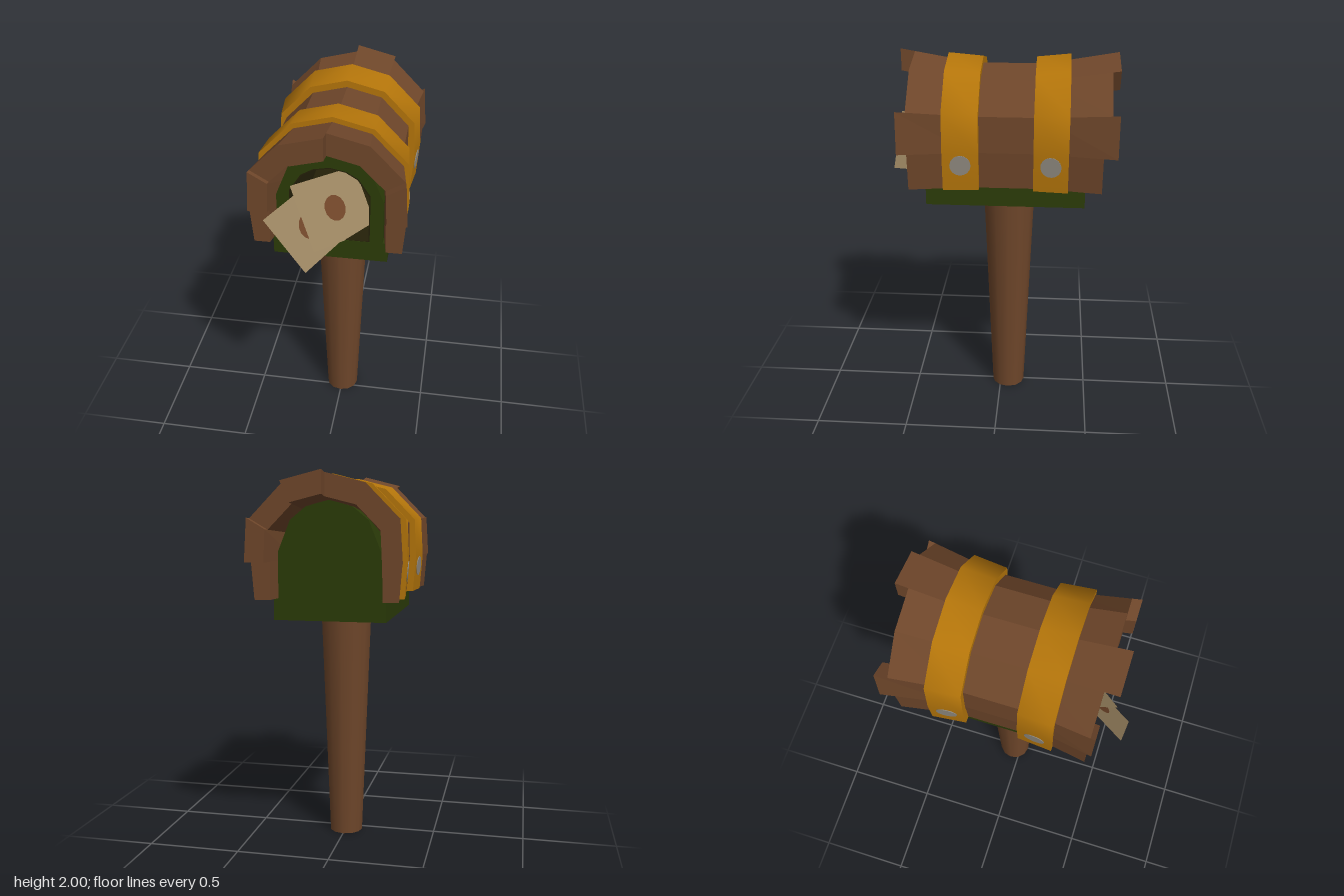
import * as THREE from 'three';
import { toCreasedNormals } from 'three/addons/utils/BufferGeometryUtils.js';

const mat = (name, color, side = THREE.FrontSide) => {
  const m = new THREE.MeshStandardMaterial({ color, side });
  m.name = name;
  return m;
};

// Half profile of the plank roof: x, y, outward direction, thickness, bottom to ridge
const PROFILE = [
  [0.315, 1.365, 1, 0, 0.08], [0.33, 1.555, 1, 0, 0.1], [0.325, 1.74, 0.85, 0.5, 0.11],
  [0.18, 1.89, 0.4, 0.9, 0.115], [0, 1.935, 0, 1, 0.115],
];
const flare = (z) => 0.17 * Math.max(0, Math.abs(z + 0.05) - 0.18);
const offsetPoint = (i, d, z, side = 1) => {
  const [x, y, dx, dy] = PROFILE[i];
  return [side * (x + dx * d), y + dy * d, z];
};

// Closed solid through equal rings, ordered by z, each counterclockwise from the front
function loft(rings) {
  const n = rings[0].length, pos = [];
  const quad = (a, b, c, d) => pos.push(...a, ...b, ...c, ...a, ...c, ...d);
  for (let r = 0; r < rings.length - 1; r++) {
    for (let j = 0; j < n; j++) {
      const k = (j + 1) % n;
      quad(rings[r][j], rings[r][k], rings[r + 1][k], rings[r + 1][j]);
    }
  }
  const back = rings[0], front = rings[rings.length - 1];
  for (let k = 0; k < n / 2 - 1; k++) {
    quad(front[k], front[k + 1], front[n - 2 - k], front[n - 1 - k]);
    quad(back[n - 1 - k], back[n - 2 - k], back[k + 1], back[k]);
  }
  const g = new THREE.BufferGeometry();
  g.setAttribute('position', new THREE.Float32BufferAttribute(pos, 3));
  g.computeVertexNormals();
  return g;
}

// Outline mirrored across x = 0 from its right half, listed bottom to top
const mirrored = (half) => {
  const left = half.slice(0, -1).reverse().map(([x, y]) => [-x, y]);
  return [...half, ...left].map(([x, y]) => new THREE.Vector2(x, y));
};
const extrude = (outline, depth, hole) => {
  const shape = new THREE.Shape(mirrored(outline));
  if (hole) shape.holes.push(new THREE.Path(mirrored(hole)));
  return new THREE.ExtrudeGeometry(shape, { depth, bevelEnabled: false });
};

export function createModel() {
  const model = new THREE.Group();
  model.name = 'mailbox';
  const wood = mat('wood brown', 0x6e462a, THREE.DoubleSide);
  const gold = mat('gold', 0xb4750a);
  const green = mat('dark green', 0x2b3b08);
  const inside = mat('dark interior', 0x242008);
  const grey = mat('rivet grey', 0x908a80);
  const paper = mat('paper', 0x9a8460, THREE.DoubleSide);
  const wax = mat('wax seal', 0x6e4428, THREE.DoubleSide);
  const add = (name, geo, m, parent = model) => {
    const mesh = new THREE.Mesh(geo, m);
    mesh.name = name;
    parent.add(mesh);
    return mesh;
  };

  // Tapered hollow post
  const post = new THREE.CylinderGeometry(0.14, 0.092, 1.26, 12, 1, true);
  add('post', post, wood).position.set(0, 0.63, -0.045);

  // Base slab with a dark underside
  const slab = new THREE.BoxGeometry(0.58, 0.11, 0.82);
  add('base', slab, [green, green, green, inside, green, green]).position.set(0, 1.31, -0.04);

  // Hollow arched body with a dark lining
  const arch = [[0.265, 1.355], [0.265, 1.6], [0.2, 1.76], [0.12, 1.825], [0, 1.86]];
  const mouth = [[0.2, 1.363], [0.2, 1.63], [0.14, 1.72], [0.08, 1.755], [0, 1.77]];
  const lining = mouth.map(([x, y], i) => [x * 0.97, y + (i ? -0.006 : 0.004)]);
  add('body', extrude(arch, 0.77, mouth), green).position.z = -0.4;
  add('lining', extrude(mouth, 0.768, lining), inside).position.z = -0.4;
  add('backWall', extrude(arch, 0.05), green).position.z = -0.45;
  add('interiorBack', new THREE.ShapeGeometry(new THREE.Shape(mirrored(mouth))), inside).position.z = -0.395;

  // Uneven planks, [back, front] ends from the lowest to the ridge on each side
  const ends = {
    1: [[-0.53, 0.445], [-0.6, 0.495], [-0.565, 0.445], [-0.605, 0.445]],
    '-1': [[-0.53, 0.445], [-0.605, 0.47], [-0.54, 0.445], [-0.54, 0.52]],
  };
  const planks = new THREE.Group();
  planks.name = 'planks';
  model.add(planks);
  for (const side of [1, -1]) {
    ends[side].forEach(([back, front], i) => {
      const rings = [back, -0.23, 0.13, front].map((z) => {
        const f = flare(z);
        const ring = [offsetPoint(i, f, z, side), offsetPoint(i + 1, f, z, side),
          offsetPoint(i + 1, f - PROFILE[i + 1][4], z, side), offsetPoint(i, f - PROFILE[i][4], z, side)];
        return side > 0 ? ring : ring.reverse();
      });
      add('plank', loft(rings), wood, planks);
    });
  }

  // Gold bands flaring outward, with a flat rivet on each side
  for (const [name, z0, z1, d0, d1] of [
    ['frontBand', 0.09, 0.27, 0.035, 0.05], ['backBand', -0.36, -0.185, 0.053, 0.035],
  ]) {
    const halfRow = (z, d) => [
      ...[0, 1, 2, 3, 4].map((i) => offsetPoint(i, d, z)),
      ...[3, 2, 1, 0].map((i) => offsetPoint(i, d, z, -1)),
    ];
    const rings = [[z0, d0], [z1, d1]].map(([z, d]) => [
      ...halfRow(z, d), ...halfRow(z, flare(z) - 0.01).reverse(),
    ]);
    add(name, toCreasedNormals(loft(rings), 1.05), gold);
    for (const side of [1, -1]) {
      const rivet = add('rivet', new THREE.CylinderGeometry(0.053, 0.053, 0.006, 16), grey);
      const normal = new THREE.Vector3(side, -0.08, (d0 - d1) / (z1 - z0)).normalize();
      rivet.quaternion.setFromUnitVectors(new THREE.Vector3(0, 1, 0), normal);
      rivet.position.set(side * (0.326 + (d0 + d1) / 2), 1.5, (z0 + z1) / 2);
    }
  }

  // Letters: a corner and its two edge directions, with a round seal in the middle
  const letter = (name, corner, edgeA, edgeB) => {
    const a = new THREE.Vector3(...edgeA), b = new THREE.Vector3(...edgeB);
    const normal = a.clone().cross(b).normalize();
    const group = new THREE.Group();
    group.name = name;
    group.position.set(...corner).addScaledVector(a, 0.5).addScaledVector(b, 0.5);
    const sheet = new THREE.PlaneGeometry(1, 1);
    sheet.applyMatrix4(new THREE.Matrix4().makeBasis(a, b, normal));
    sheet.computeVertexNormals();
    add('envelope', sheet, paper, group);
    const seal = add('seal', new THREE.CircleGeometry(0.066, 14), wax, group);
    seal.quaternion.setFromUnitVectors(new THREE.Vector3(0, 0, 1), normal);
    seal.position.copy(normal).multiplyScalar(0.004);
    model.add(group);
  };
  letter('lowerLetter', [-0.28, 1.585, 0.585], [0.2, -0.27, 0.02], [0.18, 0.05, -0.32]);
  letter('upperLetter', [-0.19, 1.665, 0.39], [0.14, -0.275, 0.14], [0.265, -0.052, -0.33]);

  return model;
}
